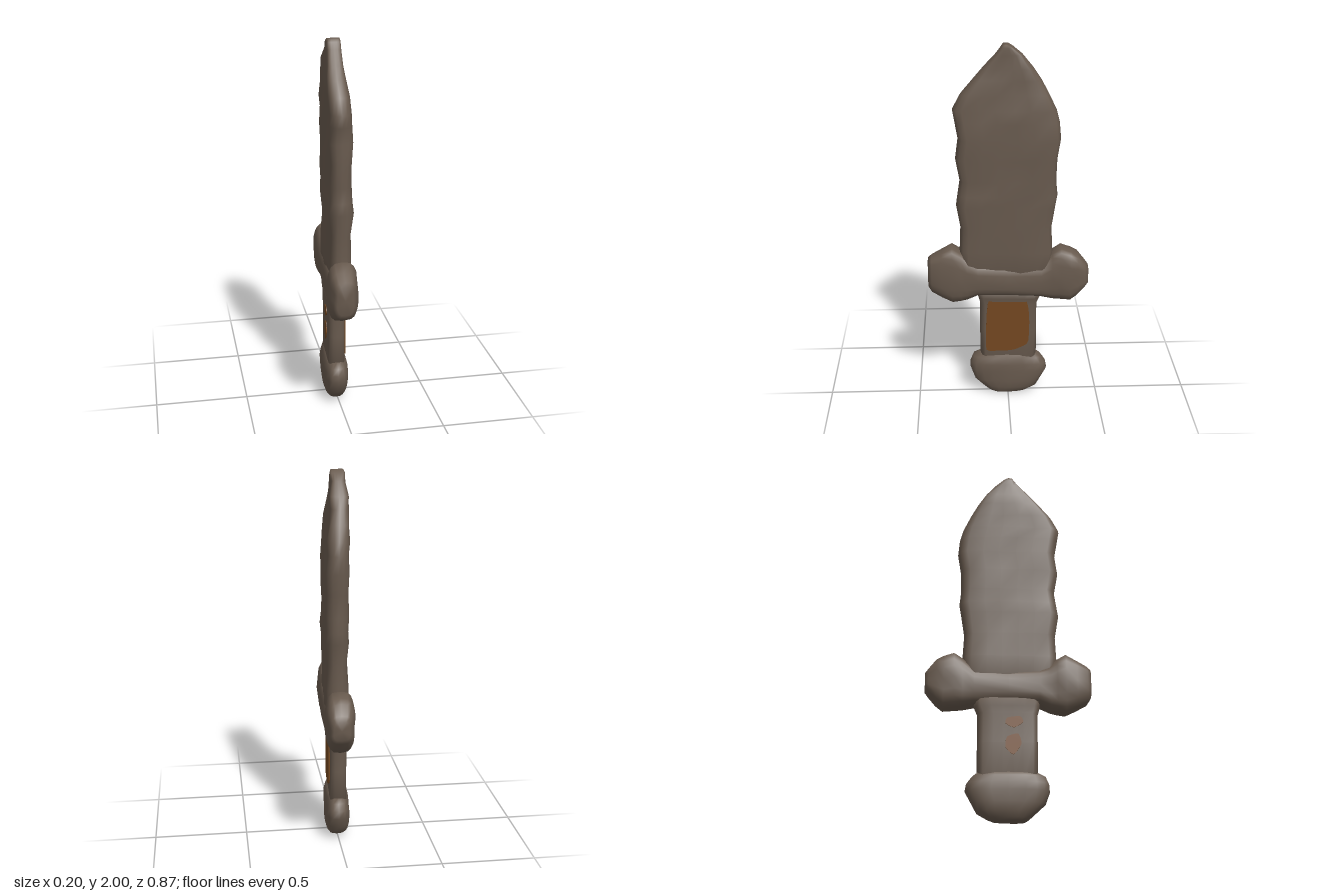
import * as THREE from 'three';

// Half outline of a flat, round-edged bar: u runs along its width, v through its thickness.
const HALF = [[1, 0], [0.98, 0.42], [0.93, 0.76], [0.82, 0.95], [0.5, 1], [0.18, 1],
  [-0.18, 1], [-0.5, 1], [-0.82, 0.95], [-0.93, 0.76], [-0.98, 0.42]];
const BAR = [...HALF, ...HALF.map(([u, v]) => [-u, -v])];
// Rounder outline for the knobbly parts.
const ROUND = Array.from({ length: 20 }, (_, i) => {
  const a = (i / 20) * Math.PI * 2, c = Math.cos(a), s = Math.sin(a);
  return [Math.sign(c) * Math.abs(c) ** 0.75, Math.sign(s) * Math.abs(s) ** 0.6];
});

// The whole dagger is turned slightly about its upright axis.
const lean = (x, z) => x - 0.05 * z;

// Skin through rows of [position, low, high, centre x, half thickness].
function loft(rows, section, along, wobble = 0) {
  const pos = [], idx = [], n = section.length;
  const add = (t, w, x) => {
    const [y, z] = along === 'y' ? [t, w] : [w, t];
    pos.push(lean(x, z), y, z);
  };
  rows.forEach(([t, lo, hi, cx, half]) => {
    for (const [u, v] of section) {
      const w = (lo + hi) / 2 + (u * (hi - lo)) / 2;
      const dent = wobble * Math.sin(t * 23 + w * 31) * Math.cos(w * 17 - t * 9) * v;
      add(t, w, cx + half * v + dent);
    }
  });
  for (let i = 0; i < rows.length - 1; i++) {
    for (let j = 0; j < n; j++) {
      const a = i * n + j, b = i * n + ((j + 1) % n);
      idx.push(a, b, b + n, a, b + n, a + n);
    }
  }
  // End caps
  const last = rows.length - 1;
  [0, last].forEach((r, k) => {
    const [t, lo, hi, cx] = rows[r];
    add(t, (lo + hi) / 2, cx);
    const c = rows.length * n + k;
    for (let j = 0; j < n; j++) {
      const a = r * n + j, b = r * n + ((j + 1) % n);
      if (k) idx.push(c, a, b); else idx.push(c, b, a);
    }
  });
  const g = new THREE.BufferGeometry();
  g.setAttribute('position', new THREE.Float32BufferAttribute(pos, 3));
  g.setIndex(idx);
  g.computeVertexNormals();
  return g;
}

// Thin rounded plate lying on a side of the grip.
function plate(points, x, depth) {
  const curve = new THREE.CatmullRomCurve3(points.map(([z, y]) => new THREE.Vector3(-z, y, 0)), true, 'catmullrom', 0.35);
  const shape = new THREE.Shape(curve.getPoints(32).map(p => new THREE.Vector2(p.x, p.y)));
  const g = new THREE.ExtrudeGeometry(shape, { depth, bevelEnabled: false });
  g.rotateY(Math.PI / 2);
  const p = g.attributes.position;
  for (let i = 0; i < p.count; i++) p.setX(i, lean(p.getX(i) + x, p.getZ(i)));
  g.computeVertexNormals();
  return g;
}

export function createModel() {
  const group = new THREE.Group();
  const stone = new THREE.MeshStandardMaterial({ name: 'brown stone', color: 0x685a4e });
  const leather = new THREE.MeshStandardMaterial({ name: 'rust leather', color: 0x744820 });
  const part = (name, geometry, material) => {
    const mesh = new THREE.Mesh(geometry, material);
    mesh.name = name;
    group.add(mesh);
  };

  // Broad chipped blade, narrowing to a blunt tip
  part('blade', loft([
    [0.7, -0.24, 0.26, 0.005, 0.058],
    [0.88, -0.24, 0.26, 0.005, 0.06],
    [1.015, -0.233, 0.254, 0.006, 0.058],
    [1.14, -0.252, 0.275, 0.006, 0.061],
    [1.2, -0.262, 0.266, 0.006, 0.06],
    [1.28, -0.254, 0.254, 0.005, 0.058],
    [1.4, -0.258, 0.275, 0.005, 0.061],
    [1.51, -0.275, 0.26, 0.006, 0.062],
    [1.6, -0.267, 0.275, 0.002, 0.06],
    [1.665, -0.25, 0.286, 0, 0.058],
    [1.745, -0.212, 0.243, -0.005, 0.054],
    [1.82, -0.172, 0.178, -0.01, 0.05],
    [1.88, -0.132, 0.127, -0.01, 0.046],
    [1.95, -0.075, 0.062, -0.008, 0.04],
    [1.985, -0.03, 0.035, -0.008, 0.035],
    [2.0, -0.005, 0.025, -0.008, 0.03],
  ], BAR, 'y', 0.007), stone);

  // Cross guard with a swollen lobe at each end
  part('guard', loft([
    [0.434, 0.66, 0.82, 0, 0.045],
    [0.415, 0.63, 0.836, 0, 0.062],
    [0.36, 0.6, 0.868, 0, 0.076],
    [0.302, 0.57, 0.902, 0, 0.08],
    [0.255, 0.578, 0.872, 0, 0.077],
    [0.222, 0.588, 0.84, 0.002, 0.074],
    [0.164, 0.617, 0.81, 0.004, 0.073],
    [0, 0.617, 0.8, 0.004, 0.074],
    [-0.18, 0.612, 0.81, 0.004, 0.073],
    [-0.238, 0.598, 0.872, 0.002, 0.075],
    [-0.286, 0.592, 0.903, 0, 0.078],
    [-0.339, 0.587, 0.885, 0, 0.076],
    [-0.376, 0.618, 0.866, 0, 0.072],
    [-0.415, 0.665, 0.815, 0, 0.058],
    [-0.434, 0.69, 0.79, 0, 0.042],
  ], ROUND, 'z', 0.005), stone);

  // Flat grip, flaring slightly under the guard
  part('grip', loft([
    [0.18, -0.158, 0.154, -0.005, 0.047],
    [0.4, -0.158, 0.154, -0.005, 0.046],
    [0.56, -0.158, 0.154, -0.005, 0.047],
    [0.6, -0.175, 0.165, -0.003, 0.053],
    [0.66, -0.185, 0.17, 0, 0.058],
  ], BAR, 'y'), stone);

  // Rounded pommel
  part('pommel', loft([
    [0, -0.075, 0.09, -0.002, 0.035],
    [0.013, -0.105, 0.11, -0.002, 0.048],
    [0.045, -0.16, 0.145, -0.003, 0.06],
    [0.087, -0.183, 0.19, -0.004, 0.066],
    [0.15, -0.217, 0.212, -0.004, 0.069],
    [0.19, -0.21, 0.21, -0.004, 0.066],
    [0.225, -0.185, 0.195, -0.004, 0.058],
    [0.25, -0.155, 0.15, -0.004, 0.042],
  ], ROUND, 'y', 0.004), stone);

  // Leather wrap on one side, worn scraps on the other
  part('gripWrap', plate([
    [0.1, 0.6], [0.118, 0.5], [0.122, 0.38], [0.12, 0.28], [0.06, 0.275], [-0.02, 0.28],
    [-0.07, 0.3], [-0.11, 0.33], [-0.117, 0.44], [-0.112, 0.54], [-0.09, 0.6], [0, 0.605],
  ], 0.037, 0.009), leather);
  [[0.03, 0.51, 0.045, 0.03], [0.025, 0.39, 0.04, 0.055]].forEach(([z, y, w, h]) => {
    part('wornWrapScrap', plate([
      [z + w, y], [z + w * 0.6, y + h], [z - w * 0.8, y + h * 0.7], [z - w, y - h * 0.3], [z, y - h],
    ], -0.055, 0.008), leather);
  });

  return group;
}
